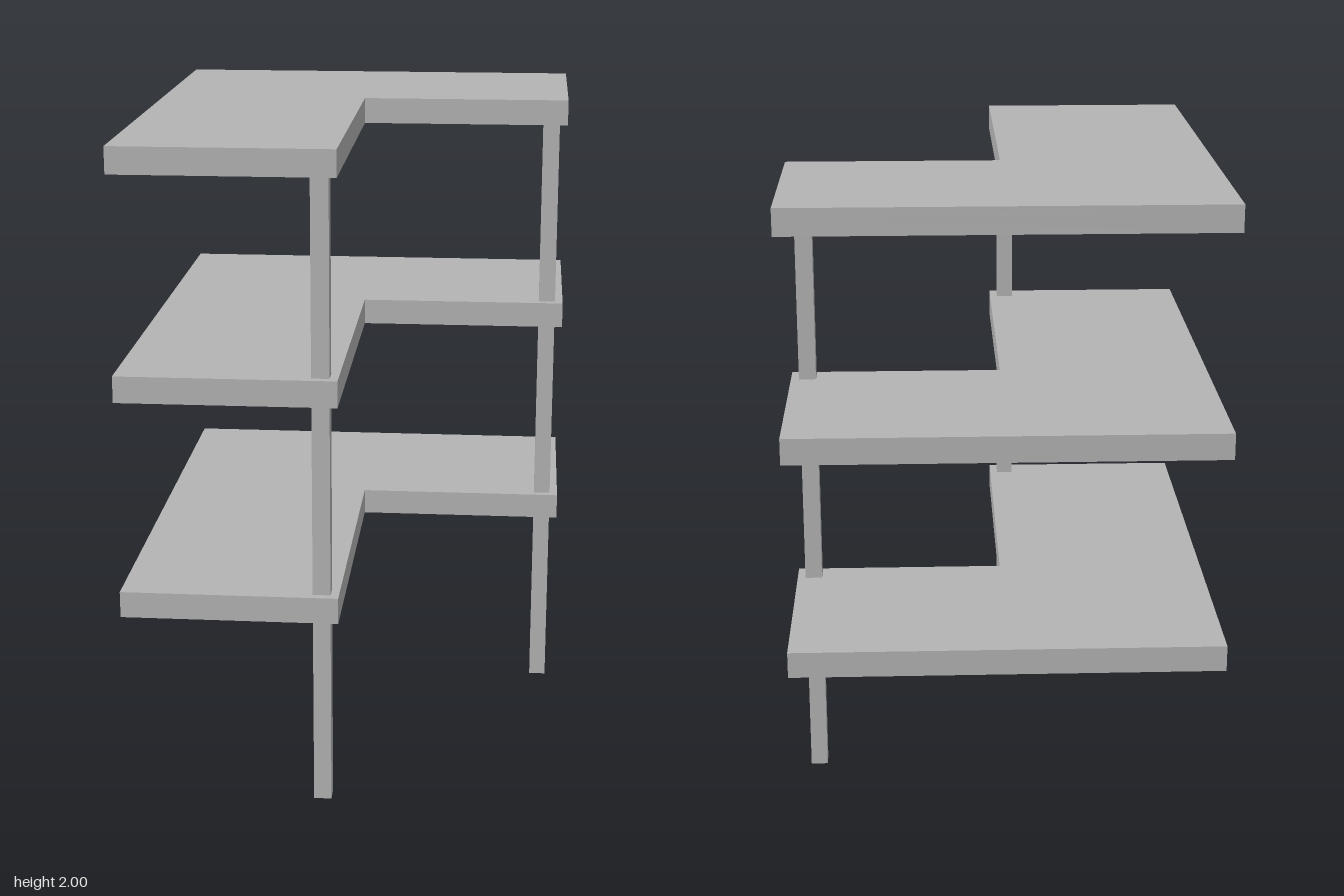
import * as THREE from 'three';

const BOARD = 0.025;   // thickness of top panel and rim boards
const HEIGHT = 0.08;   // full height of a shelf
const POST = 0.053;

// L-shaped outline in plan (shape y = model z), optionally inset
function outline(i = 0) {
  return [
    [-0.652 + i, -0.817 + i], [0.652 - i, -0.817 + i], [0.652 - i, -0.165 - i],
    [-i, -0.165 - i], [-i, 0.817 - i], [-0.652 + i, 0.817 - i],
  ].map(([x, z]) => new THREE.Vector2(x, z));
}

// Extrudes a plan shape downwards from y = 0
function slab(shape, depth) {
  return new THREE.ExtrudeGeometry(shape, { depth, bevelEnabled: false }).rotateX(Math.PI / 2);
}

export function createModel() {
  const model = new THREE.Group();
  model.name = 'cornerShelf';
  const grey = new THREE.MeshStandardMaterial({ color: 0xb4b4b4 });
  grey.name = 'grey';

  const add = (parent, name, geometry, x, y, z) => {
    const mesh = new THREE.Mesh(geometry, grey);
    mesh.name = name;
    mesh.position.set(x, y, z);
    parent.add(mesh);
  };

  // Shelves: thin panel with a rim hanging below its edge
  const rimShape = new THREE.Shape(outline());
  rimShape.holes.push(new THREE.Path(outline(BOARD)));
  const panel = slab(new THREE.Shape(outline()), BOARD);
  const rim = slab(rimShape, HEIGHT - BOARD);
  ['lower', 'middle', 'upper'].forEach((level, i) => {
    const shelf = new THREE.Group();
    shelf.name = level + 'Shelf';
    shelf.position.y = (2 * (i + 1)) / 3;
    add(shelf, 'panel', panel, 0, 0, 0);
    add(shelf, 'rim', rim, 0, -BOARD, 0);
    model.add(shelf);
  });

  // Posts tucked inside the rim at the free corner of each arm
  const length = 2 - BOARD;
  const post = new THREE.BoxGeometry(POST, length, POST);
  const inset = BOARD + POST / 2;
  add(model, 'frontPost', post, -inset, length / 2, 0.817 - inset);
  add(model, 'leftPost', post, 0.652 - inset, length / 2, -0.165 - inset);

  return model;
}
